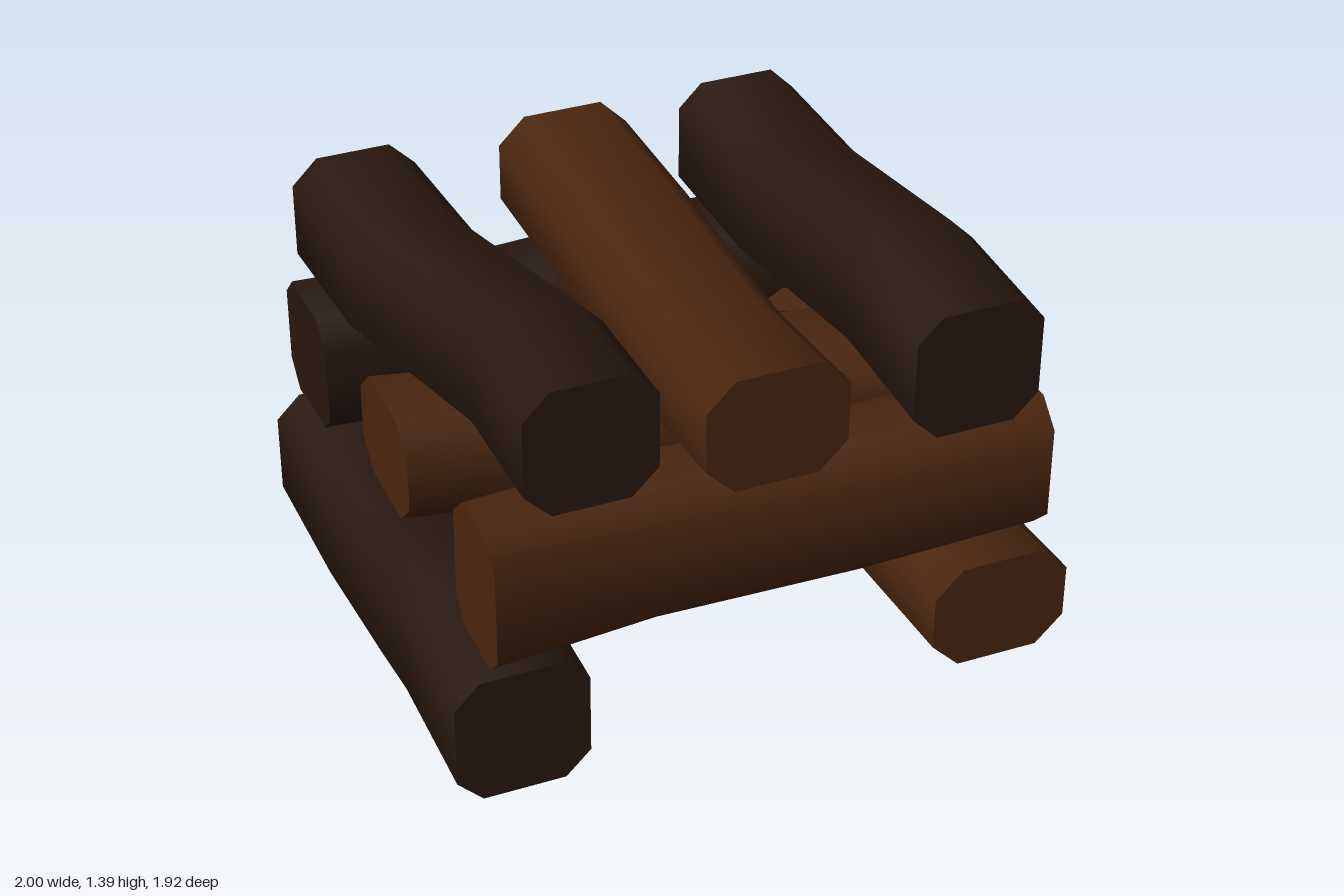
import * as THREE from 'three';
import { toCreasedNormals } from 'three/addons/utils/BufferGeometryUtils.js';

const bark = {
  dark: new THREE.MeshStandardMaterial({ color: 0x28170f }),
  brown: new THREE.MeshStandardMaterial({ color: 0x4a260f }),
};

// Closed solid swept along local z: outline is counter-clockwise [x, y], stations are [z, x, y]
function sweep(outline, stations) {
  const pos = [], index = [], n = outline.length;
  for (const [z, x, y] of stations) for (const [ox, oy] of outline) pos.push(x + ox, y + oy, z);
  for (let s = 0; s < stations.length - 1; s++) {
    for (let i = 0; i < n; i++) {
      const a = s * n + i, b = s * n + (i + 1) % n;
      index.push(a, b, b + n, a, b + n, a + n);
    }
  }
  // end caps
  const last = (stations.length - 1) * n;
  for (let i = 1; i < n - 1; i++) {
    index.push(0, i + 1, i);
    index.push(last, last + i, last + i + 1);
  }
  const geo = new THREE.BufferGeometry();
  geo.setAttribute('position', new THREE.Float32BufferAttribute(pos, 3));
  geo.setIndex(index);
  return toCreasedNormals(geo, 1.0);
}

// Rectangle with cut corners
function octagon(w, h, c) {
  const x = w / 2, y = h / 2;
  return [[x, y - c], [x - c, y], [c - x, y], [-x, y - c],
    [-x, c - y], [c - x, -y], [x - c, -y], [x, c - y]];
}

// Short bent twig: starts inside the log, grows along "out" and leans along "lean"
function makeTwig(name, base, out, lean) {
  const r = 0.085;
  const hexagon = [...Array(6)].map((_, i) => [r * Math.cos(i * Math.PI / 3), r * Math.sin(i * Math.PI / 3)]);
  const geo = sweep(hexagon, [[-0.12, -0.06, 0], [0, 0, 0], [0.09, 0.065, 0], [0.175, 0.035, 0]]);
  const z = new THREE.Vector3(...out), x = new THREE.Vector3(...lean);
  geo.applyMatrix4(new THREE.Matrix4().makeBasis(x, z.clone().cross(x), z));
  const mesh = new THREE.Mesh(geo, bark.brown);
  mesh.position.set(...base);
  mesh.name = name;
  return mesh;
}

// Path points are [along, side, y]; side is x for logs along z, and z for logs along x
const logs = [
  // bottom layer, along z
  { name: 'bottomRightLog', color: 'dark', axis: 'z', size: [0.42, 0.43, 0.08],
    path: [[-0.83, -0.79, 0.22], [-0.3, -0.79, 0.225], [0.2, -0.79, 0.285], [0.48, -0.79, 0.325], [0.935, -0.79, 0.31]] },
  { name: 'bottomLeftLog', color: 'brown', axis: 'z', size: [0.45, 0.36, 0.09],
    path: [[-0.905, 0.775, 0.185], [-0.58, 0.775, 0.285], [-0.2, 0.775, 0.285], [0.3, 0.775, 0.255], [0.93, 0.775, 0.3]] },
  // middle layer, along x
  { name: 'middleFrontLog', color: 'brown', axis: 'x', size: [0.35, 0.47, 0.08],
    path: [[-0.87, 0.78, 0.75], [-0.3, 0.665, 0.695], [0.35, 0.7, 0.71], [0.97, 0.665, 0.695]] },
  { name: 'middleCentreLog', color: 'brown', axis: 'x', size: [0.45, 0.36, 0.09],
    path: [[-0.87, -0.045, 0.71], [-0.3, -0.03, 0.64], [0.35, -0.015, 0.64], [0.97, 0, 0.6]] },
  { name: 'middleBackLog', color: 'dark', axis: 'x', size: [0.42, 0.42, 0.08],
    path: [[-0.9, -0.755, 0.63], [-0.3, -0.755, 0.6], [0.4, -0.755, 0.63], [0.88, -0.755, 0.63]] },
  // top layer, along z
  { name: 'topRightLog', color: 'dark', axis: 'z', size: [0.415, 0.42, 0.085],
    path: [[-0.935, -0.655, 1.035], [-0.41, -0.645, 1.065], [0.365, -0.515, 1.15], [0.84, -0.53, 1.19]] },
  { name: 'topCentreLog', color: 'brown', axis: 'z', size: [0.45, 0.38, 0.09],
    path: [[-0.95, 0.075, 1.05], [-0.4, 0.06, 1.07], [0.37, 0.04, 1.065], [0.89, 0.025, 1.14]] },
  { name: 'topLeftLog', color: 'dark', axis: 'z', size: [0.415, 0.42, 0.08],
    path: [[-0.935, 0.695, 1.035], [-0.41, 0.695, 1.035], [0.38, 0.695, 1.16], [0.84, 0.695, 1.14]] },
];

export function createModel() {
  const group = new THREE.Group();
  group.name = 'logPile';
  for (const { name, color, axis, size, path } of logs) {
    const alongX = axis === 'x';
    const geo = sweep(octagon(...size), path.map(([t, s, y]) => [t, alongX ? -s : s, y]));
    if (alongX) geo.rotateY(Math.PI / 2);
    const mesh = new THREE.Mesh(geo, bark[color]);
    mesh.name = name;
    group.add(mesh);
  }
  // one twig stub on each brown log
  group.add(
    makeTwig('bottomLogTwig', [0.7, 0.465, -0.41], [0, 1, 0], [0, 0, -1]),
    makeTwig('frontLogTwig', [-0.365, 0.75, 0.505], [0, 0, -1], [-1, 0, 0]),
    makeTwig('centreLogTwig', [-0.365, 0.425, -0.02], [0, -1, 0], [-1, 0, 0]),
    makeTwig('topLogTwig', [0.04, 0.865, 0.41], [0, -1, 0], [0, 0, 1]),
  );
  return group;
}
